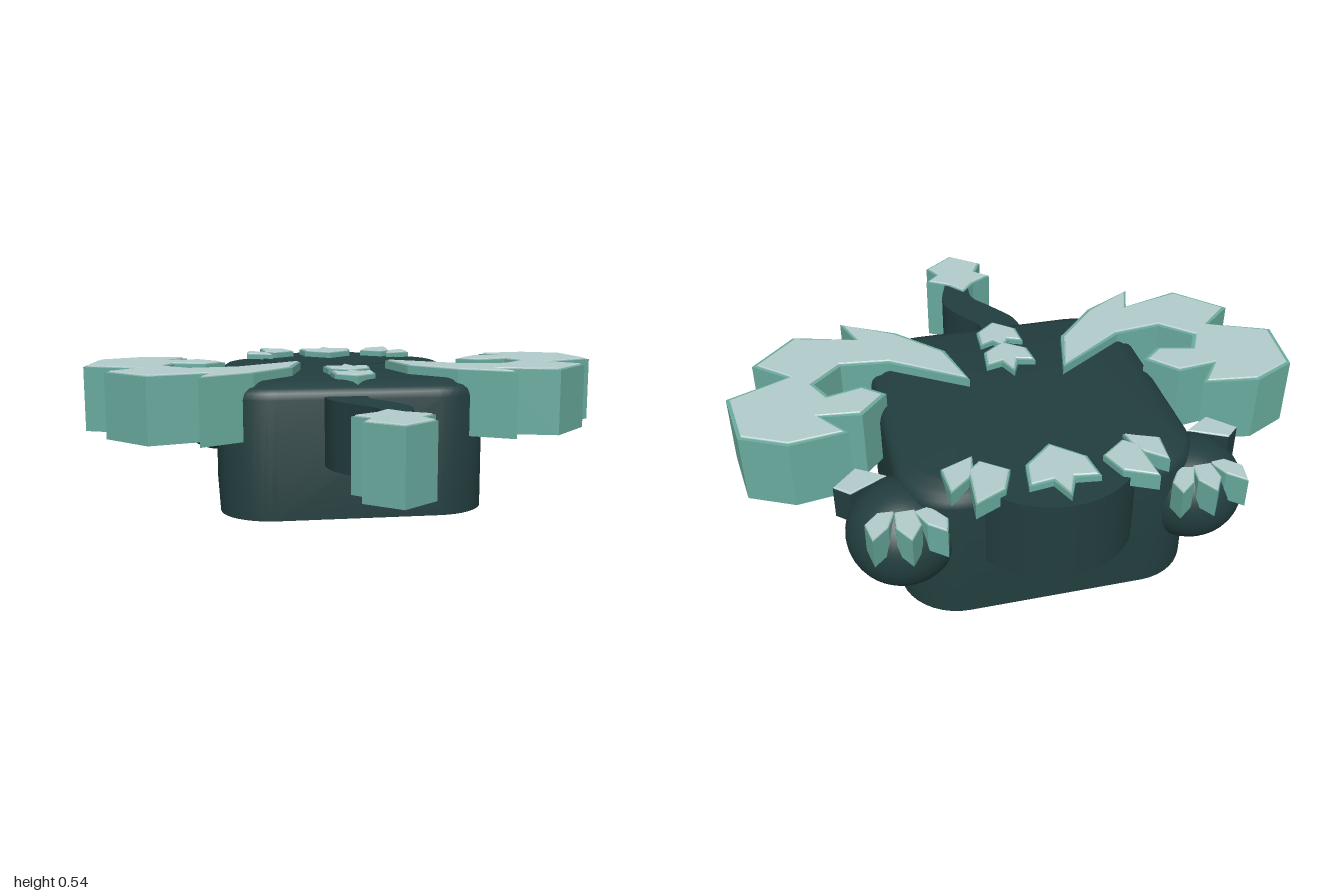
import * as THREE from 'three';
import { toCreasedNormals } from 'three/addons/utils/BufferGeometryUtils.js';

const hide = new THREE.MeshStandardMaterial({ color: 0x223d3e });
hide.name = 'dark hide';
const horn = new THREE.MeshStandardMaterial({ color: 0x69ab9e });
horn.name = 'teal horn';
const pale = new THREE.MeshStandardMaterial({ color: 0xb2cccb });
pale.name = 'pale horn face';

const mirror = (pts) => pts.map(([x, z]) => [-x, z]);
// Completes an outline that is symmetric about x = 0
const both = (half) => [...half, ...mirror(half).reverse().filter(([x]) => x !== 0)];

// Upright prism over an outline given as [x, z] points
function prism(pts, y0, y1, bevel = {}) {
  const shape = new THREE.Shape(pts.map(([x, z]) => new THREE.Vector2(x, -z)));
  const geo = new THREE.ExtrudeGeometry(shape, { depth: y1 - y0, bevelEnabled: false, ...bevel });
  return geo.rotateX(-Math.PI / 2).translate(0, y0, 0);
}

function addMesh(parent, name, geo, mat) {
  const mesh = new THREE.Mesh(geo, mat);
  mesh.name = name;
  parent.add(mesh);
  return mesh;
}

// Horn plate: coloured sides with a thin inset pale face on top
function plate(parent, name, pts, y0, y1, side = horn, inset = 0.012) {
  const g = new THREE.Group();
  g.name = name;
  addMesh(g, name + 'Sides', prism(pts, y0, y1 - 0.006), side);
  addMesh(g, name + 'Face', prism(pts, y1 - 0.008, y1 - 0.003, {
    bevelEnabled: true, bevelThickness: 0.003, bevelSize: 0.004, bevelOffset: -inset, bevelSegments: 1,
  }), pale);
  parent.add(g);
}

// Rounded square shell lofted from [height, inset] rings, with closed ends
function bodyGeometry() {
  const rows = [[0, 0], [0.44, 0], [0.463, 0.006], [0.478, 0.02], [0.484, 0.04], [0.495, 0.055], [0.5, 0.075]];
  const steps = 10, n = 4 * (steps + 1), half = 0.498, zMid = -0.272;
  const pos = [], idx = [];
  for (const [y, inset] of rows) {
    const r = 0.2 - inset * 0.6, c = half - inset - r;
    for (let k = 0; k < 4; k++) for (let i = 0; i <= steps; i++) {
      const a = (k + i / steps) * Math.PI / 2;
      const sx = k === 0 || k === 3 ? 1 : -1, sz = k < 2 ? 1 : -1;
      pos.push(sx * c + Math.cos(a) * r, y, zMid + sz * c + Math.sin(a) * r);
    }
  }
  for (let j = 0; j < rows.length - 1; j++) for (let i = 0; i < n; i++) {
    const a = j * n + i, b = j * n + (i + 1) % n;
    idx.push(a, a + n, b, b, a + n, b + n);
  }
  const base = pos.length / 3, last = (rows.length - 1) * n;
  pos.push(0, 0, zMid, 0, 0.5, zMid);
  for (let i = 0; i < n; i++) {
    const k = (i + 1) % n;
    idx.push(base, i, k, base + 1, last + k, last + i);
  }
  const geo = new THREE.BufferGeometry();
  geo.setAttribute('position', new THREE.Float32BufferAttribute(pos, 3));
  geo.setIndex(idx);
  return toCreasedNormals(geo, 0.9);
}

export function createModel() {
  const model = new THREE.Group();
  model.name = 'hornedCreature';

  // Body and round rear lobe
  addMesh(model, 'body', bodyGeometry(), hide);
  addMesh(model, 'rearLobe', new THREE.CylinderGeometry(0.29, 0.29, 0.29, 64), hide)
    .position.set(0, 0.358, -0.612);

  // Wavy tail
  const curve = (pts) => new THREE.SplineCurve(pts.map((p) => new THREE.Vector2(...p)))
    .getPoints(24).map((p) => [p.x, p.y]);
  const tailLeft = curve([[0.035, 0.18], [0.03, 0.29], [0.095, 0.39], [0.135, 0.5], [0.1, 0.64]]);
  const tailRight = curve([[-0.13, 0.18], [-0.115, 0.31], [-0.05, 0.42], [0.012, 0.52], [0, 0.64]]);
  addMesh(model, 'tail', toCreasedNormals(prism([...tailLeft, ...tailRight.reverse()], 0.2, 0.45), 0.7), hide);
  plate(model, 'tailTip', [
    [0.035, 0.565], [0.085, 0.63], [0.17, 0.685], [0.12, 0.735], [0.15, 0.8], [0.03, 0.895],
    [-0.085, 0.8], [-0.05, 0.73], [-0.1, 0.68], [-0.02, 0.63],
  ], 0.2, 0.457);

  // Leaf-shaped plates along the middle of the back
  plate(model, 'rearLeaf', both([[0, -0.88], [0.035, -0.8], [0.115, -0.81], [0.1, -0.705], [0, -0.615]]), 0.49, 0.53);
  plate(model, 'middleLeaf', both([[0, -0.175], [0.03, -0.105], [0.09, -0.12], [0.08, -0.03], [0, 0.03]]), 0.49, 0.526);
  plate(model, 'frontLeaf', both([[0, 0.005], [0.03, 0.045], [0.08, 0.025], [0.075, 0.12], [0, 0.185]]), 0.47, 0.522);

  // Outlines for the right side, mirrored to the left
  const bigHorn = [
    [-0.81, -0.445], [-0.615, -0.415], [-0.695, -0.31], [-0.56, -0.33], [-0.465, -0.225],
    [-0.54, -0.16], [-0.66, -0.19], [-0.7, -0.11], [-0.6, -0.015], [-0.43, -0.035],
    [-0.17, -0.205], [-0.22, 0], [-0.375, 0.165], [-0.57, 0.275], [-0.53, 0.155],
    [-0.75, 0.22], [-0.905, 0.055], [-0.79, -0.045], [-0.998, -0.135], [-0.965, -0.37],
  ];
  const innerLeaf = [[-0.29, -0.855], [-0.185, -0.805], [-0.15, -0.715], [-0.235, -0.65], [-0.28, -0.69], [-0.283, -0.75]];
  const outerLeaf = [[-0.35, -0.78], [-0.265, -0.71], [-0.25, -0.615], [-0.3, -0.635], [-0.36, -0.66]];
  const thumb = [[-0.64, -0.6], [-0.515, -0.535], [-0.61, -0.472], [-0.69, -0.555]];
  const toes = [
    [[-0.6, -0.84], [-0.545, -0.79], [-0.515, -0.72], [-0.57, -0.715], [-0.615, -0.76]],
    [[-0.485, -0.865], [-0.445, -0.8], [-0.455, -0.725], [-0.52, -0.725], [-0.525, -0.8]],
    [[-0.375, -0.85], [-0.362, -0.79], [-0.41, -0.72], [-0.46, -0.735], [-0.43, -0.805]],
  ];

  for (const [side, flip] of [['right', (p) => p], ['left', mirror]]) {
    const s = side === 'right' ? -1 : 1;
    plate(model, side + 'BigHorn', flip(bigHorn), 0.287, 0.537, horn, 0.016);
    plate(model, side + 'InnerLeaf', flip(innerLeaf), 0.47, 0.53, horn, 0.009);
    plate(model, side + 'OuterLeaf', flip(outerLeaf), 0.47, 0.525, horn, 0.009);

    // Round paw with thumb and three toes
    const paw = addMesh(model, side + 'Paw', new THREE.SphereGeometry(0.183, 40, 28), hide);
    paw.position.set(s * 0.488, 0.285, -0.642);
    paw.scale.y = 0.955;
    plate(model, side + 'Thumb', flip(thumb), 0.31, 0.43, hide, 0.005);
    toes.forEach((t, i) => plate(model, side + 'Toe' + (i + 1), flip(t), 0.33, 0.438, horn, 0.006));
  }
  return model;
}
